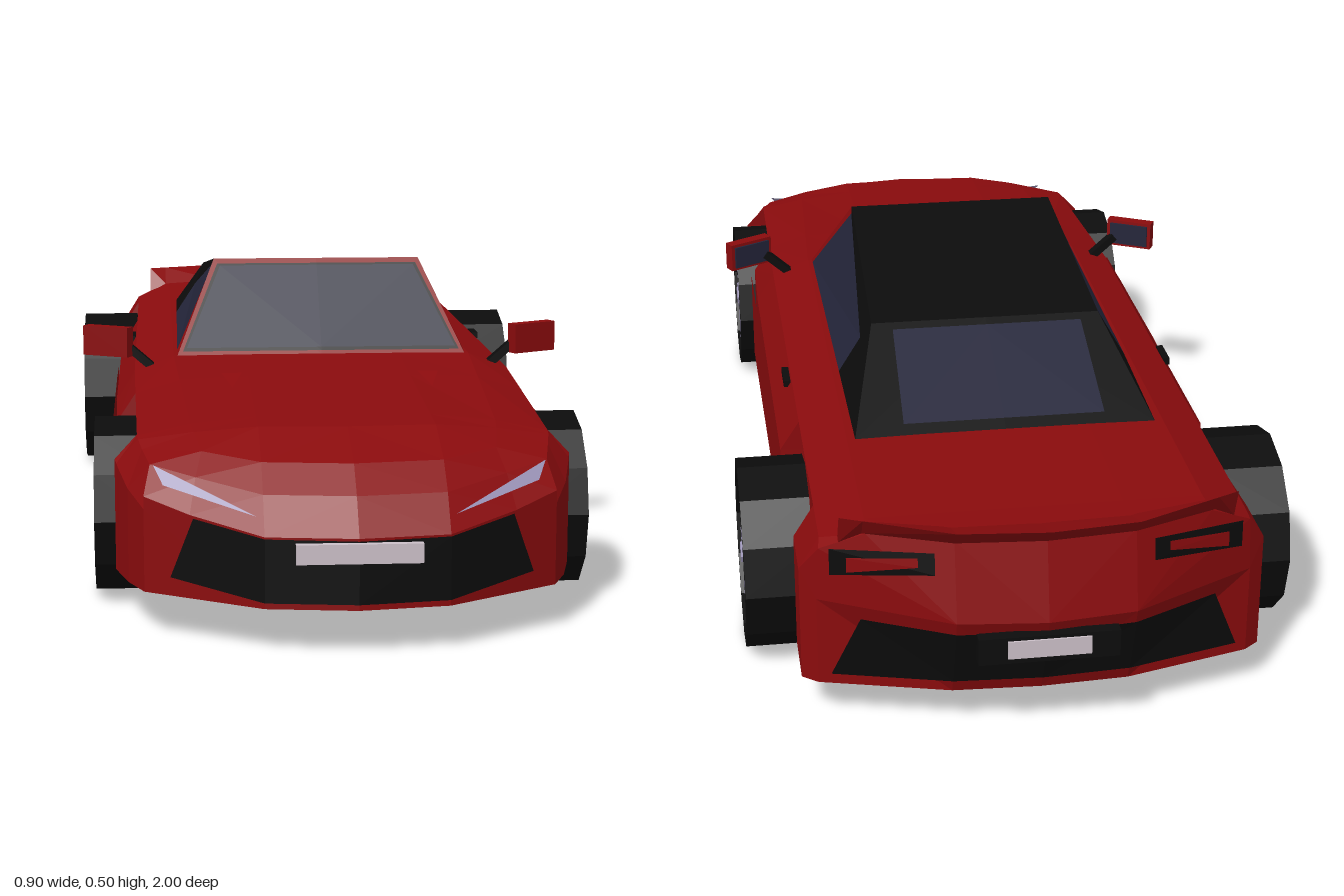
import * as THREE from 'three';

const mat = (name, color) => {
  const m = new THREE.MeshStandardMaterial({ color, side: THREE.DoubleSide });
  m.name = name;
  return m;
};

export function createModel() {
  const car = new THREE.Group();
  car.name = 'sportsCar';
  const red = mat('redPaint', 0x8a0b0d);
  const black = mat('blackTrim', 0x0c0c0c);
  const glass = mat('tintedGlass', 0x24253a);
  const silver = mat('alloy', 0x9c94b8);
  const plateWhite = mat('plateWhite', 0xccc0c8);

  const add = (name, geo, m, parent = car) => {
    const flat = geo.index ? geo.toNonIndexed() : geo;
    flat.computeVertexNormals();
    const mesh = new THREE.Mesh(flat, m);
    mesh.name = name;
    parent.add(mesh);
    return mesh;
  };
  // Flat polygons on the +x half, mirrored to the -x half
  const panels = (name, m, polys) => {
    const out = [];
    for (const p of polys) {
      for (let i = 1; i < p.length - 1; i++) {
        const [a, b, c] = [p[0], p[i], p[i + 1]];
        out.push(...a, ...b, ...c);
        for (const v of [a, c, b]) out.push(-v[0], v[1], v[2]);
      }
    }
    const g = new THREE.BufferGeometry();
    g.setAttribute('position', new THREE.Float32BufferAttribute(out, 3));
    return add(name, g, m);
  };
  const box = (name, m, [w, h, d], [x, y, z], parent) => {
    const b = add(name, new THREE.BoxGeometry(w, h, d), m, parent);
    b.position.set(x, y, z);
    return b;
  };

  // Plan curve that sweeps both ends of the car back from the centre line
  const bow = x => (x < 0.14 ? -0.143 * x : -0.02 - 0.639 * (x - 0.14));
  // Half-section: floor centre, floor, sill, flank, shoulder, deck edge, deck, deck centre
  const section = (z, k, w, flankY, s, sy, t, ty, tc) =>
    [[0, 0.07], [0.14, 0.07], [w, 0.07], [w, flankY], [s, sy], [t, ty], [0.14, tc], [0, tc]]
      .map(([x, y]) => [x, y, z + k * bow(x)]);
  // Main hull: the deck rises from the front wheels to the cowl, then stays level
  const hull = (z, w) => {
    const f = Math.min((0.705 - z) / 0.465, 1);
    return section(z, 0, w, 0.25 + 0.015 * f, 0.33 + 0.007 * f, 0.288 + 0.03 * f,
      0.245 + 0.022 * f, 0.305 + 0.04 * f, 0.316 + 0.03 * f);
  };
  // Wheel housings are the stretches where the flank steps inward
  const arch = (front, back, wide, narrow) =>
    [hull(front, wide), hull(front - 0.005, narrow), hull(back + 0.005, narrow), hull(back, wide)];

  const nose = section(0.985, 1, 0.32, 0.2, 0.32, 0.22, 0.25, 0.2, 0.18);
  const tail = section(-0.96, -0.6, 0.345, 0.22, 0.34, 0.31, 0.27, 0.345, 0.35);
  tail[0][2] += 0.03;
  tail[1][2] += 0.025;
  const stations = [
    nose,
    section(0.94, 1, 0.345, 0.22, 0.31, 0.262, 0.24, 0.25, 0.235),
    section(0.89, 1, 0.36, 0.24, 0.322, 0.275, 0.23, 0.282, 0.275),
    section(0.78, 0.4, 0.363, 0.245, 0.328, 0.285, 0.24, 0.3, 0.312),
    ...arch(0.705, 0.415, 0.366, 0.295),
    hull(0.24, 0.37),
    ...arch(-0.435, -0.745, 0.37, 0.325),
    hull(-0.85, 0.37),
    tail];
  const skin = [];
  for (let i = 0; i < stations.length - 1; i++) {
    const [a, b] = [stations[i], stations[i + 1]];
    for (let j = 0; j < 7; j++) skin.push([a[j], a[j + 1], b[j + 1], b[j]]);
  }
  // Nose face and two-tier tail face
  const r0 = [0, 0.22, -0.99], r1 = [0.14, 0.22, -0.975];
  skin.push([nose[0], nose[1], nose[6], nose[7]], nose.slice(1, 7),
    [tail[0], r0, r1, tail[1]], [tail[1], r1, tail[3], tail[2]],
    [r0, tail[7], tail[6], r1], [r1, tail[6], tail[5], tail[4], tail[3]]);
  panels('body', red, skin);

  // Front grille and headlights following the nose curve
  const onNose = (x, y) => [x, y, 0.99 + bow(x)];
  panels('grille', black, [
    [onNose(0, 0.08), onNose(0.14, 0.08), onNose(0.14, 0.178), onNose(0, 0.177)],
    [onNose(0.14, 0.08), onNose(0.28, 0.1), onNose(0.245, 0.196), onNose(0.14, 0.178)]]);
  box('frontPlate', plateWhite, [0.19, 0.03, 0.012], [0, 0.16, 0.993]);
  const onBrow = (x, y) => [x, y + 0.004, 0.99 + bow(x) - 0.85 * (y - 0.145 - 0.25 * x)];
  panels('headlights', silver, [
    [onBrow(0.15, 0.203), onBrow(0.29, 0.235), onBrow(0.305, 0.261), onBrow(0.25, 0.24)]]);

  // Tail details placed on the two tiers of the tail face
  const ridgeZ = x => (x < 0.14 ? -0.99 + 0.107 * x : -0.975 + 0.517 * (x - 0.14));
  const sillZ = x => (x < 0.14 ? -0.93 + 0.05 * x : -0.923 + 0.263 * (x - 0.14));
  const low = (x, y) => [x, y, THREE.MathUtils.lerp(sillZ(x), ridgeZ(x), (y - 0.07) / 0.15) - 0.005];
  const high = (x, y, out) => [x, y, ridgeZ(x) + 0.33 * (1 - x / 0.34) * (y - 0.22) - out];
  panels('diffuser', black, [
    [low(0, 0.095), low(0.14, 0.095), low(0.14, 0.2), low(0, 0.2)],
    [low(0.14, 0.095), low(0.325, 0.09), low(0.28, 0.2), low(0.14, 0.2)]]);
  const tailLight = (name, m, x0, x1, inset, out) => panels(name, m, [
    [high(x0, 0.295 + inset, out), high(x1, 0.27 + inset, out),
      high(x1, 0.315 - inset, out), high(x0, 0.33 - inset, out)]]);
  tailLight('tailLightSurrounds', black, 0.17, 0.325, 0, 0.006);
  tailLight('tailLightLenses', red, 0.195, 0.3, 0.01, 0.009);
  box('rearPlateHolder', black, [0.22, 0.045, 0.02], [0, 0.18, -0.987]);
  box('rearPlate', plateWhite, [0.13, 0.03, 0.006], [0, 0.182, -0.997]);

  // Ducktail spoiler: base, lip and underside edge at each step across
  const spoil = [0, 0.14, 0.275, 0.31].map(x => {
    const y = x > 0.3 ? 0.325 : 0.345;
    return [[x, y, -0.9 - 0.25 * bow(x)], [x, 0.377, -0.992 - 0.7 * bow(x)], [x, y, -0.96 - 0.6 * bow(x)]];
  });
  const spoilFaces = [spoil[3]];
  for (let i = 0; i < 3; i++) {
    for (let j = 0; j < 2; j++) {
      spoilFaces.push([spoil[i][j], spoil[i + 1][j], spoil[i + 1][j + 1], spoil[i][j + 1]]);
    }
  }
  panels('spoiler', red, spoilFaces);

  // Cabin: windscreen frame, soft roof, side and rear glass
  const cowl = [0.26, 0.345, 0.24], head = [0.19, 0.505, 0.1];
  const roofBack = [0.2, 0.45, -0.34], deckEnd = [0.253, 0.345, -0.575];
  const gA = [0.26, 0.352, 0.21], gB = [0.192, 0.495, 0.09];
  const gC = [0.217, 0.412, -0.31], gD = [0.256, 0.352, -0.315];
  const centre = p => [0, p[1], p[2]];
  const across = (a, b) => [centre(a), a, b, centre(b)];
  panels('windscreenFrame', red, [across(cowl, head), [cowl, gA, gB, head]]);
  const onScreen = (x, y, out) => [x, y + out, 0.24 - 0.875 * (y - 0.345) + out];
  panels('windscreenSeal', black, [across(onScreen(0.25, 0.35, 0.002), onScreen(0.184, 0.495, 0.002))]);
  panels('windscreen', glass, [across(onScreen(0.243, 0.354, 0.004), onScreen(0.179, 0.49, 0.004))]);
  panels('softRoof', black, [across(head, roofBack), across(roofBack, deckEnd),
    [head, roofBack, gC, gB], [roofBack, deckEnd, gD, gC]]);
  panels('sideWindows', glass, [[gA, gB, gC, gD]]);
  const onBack = (x, z) => [x, 0.455 + 0.447 * (z + 0.34), z - 0.002];
  panels('rearWindow', glass, [across(onBack(0.165, -0.36), onBack(0.17, -0.555))]);

  // Bonnet scoops and door skins
  const scoop = [[0.187, 0.343, 0.43], [0.152, 0.343, 0.43]];
  panels('bonnetScoops', red, [[[0.17, 0.327, 0.49], ...scoop], [...scoop, [0.17, 0.327, 0.42]]]);
  panels('doorSkins', red, [
    [[0.08, 0.4], [0.255, 0.4], [0.26, -0.05], [0.25, -0.27], [0.12, -0.27]].map(p => [0.374, ...p])]);

  // Wheel: open tyre ring with eight wedge spokes
  const wheel = (name, r, width, x, z) => {
    const g = new THREE.Group();
    g.name = name;
    const h = width / 2, ri = r * 0.88, a = 0.21;
    const ring = [[ri, -h], [r, -h], [r, h], [ri, h], [ri, -h]].map(p => new THREE.Vector2(...p));
    add('tyre', new THREE.LatheGeometry(ring, 12), black, g).rotation.z = Math.PI / 2;
    const wedge = new THREE.Shape([0, -a, a].map((t, i) =>
      new THREE.Vector2(Math.cos(t), Math.sin(t)).multiplyScalar(i ? ri : 0)));
    const spokes = new THREE.Group();
    spokes.name = 'spokes';
    spokes.rotation.y = Math.PI / 2;
    for (let i = 0; i < 8; i++) {
      const spoke = new THREE.ExtrudeGeometry(wedge, { depth: h * 0.9, bevelEnabled: false });
      add('spoke', spoke, silver, spokes).rotation.z = (i + 0.5) * Math.PI / 4;
    }
    g.add(spokes);
    const hub = add('hub', new THREE.CylinderGeometry(0.018, 0.022, h, 8), silver, g);
    hub.rotation.z = -Math.PI / 2;
    hub.position.x = h * 0.5;
    g.position.set(x, r, z);
    return g;
  };

  // Parts repeated on each side
  for (const side of [1, -1]) {
    const g = new THREE.Group();
    g.name = side > 0 ? 'leftSide' : 'rightSide';
    g.scale.x = side;
    g.add(wheel('frontWheel', 0.147, 0.1, 0.35, 0.56));
    g.add(wheel('rearWheel', 0.157, 0.112, 0.394, -0.59));
    box('mirrorShell', red, [0.09, 0.053, 0.022], [0.384, 0.372, 0.23], g).rotation.y = 0.5;
    box('mirrorGlass', glass, [0.076, 0.042, 0.004], [0.378, 0.372, 0.218], g).rotation.y = 0.5;
    box('mirrorStalk', black, [0.07, 0.014, 0.02], [0.325, 0.342, 0.235], g).rotation.z = 0.72;
    box('doorHandle', black, [0.012, 0.012, 0.06], [0.345, 0.312, -0.24], g);
    car.add(g);
  }
  return car;
}
